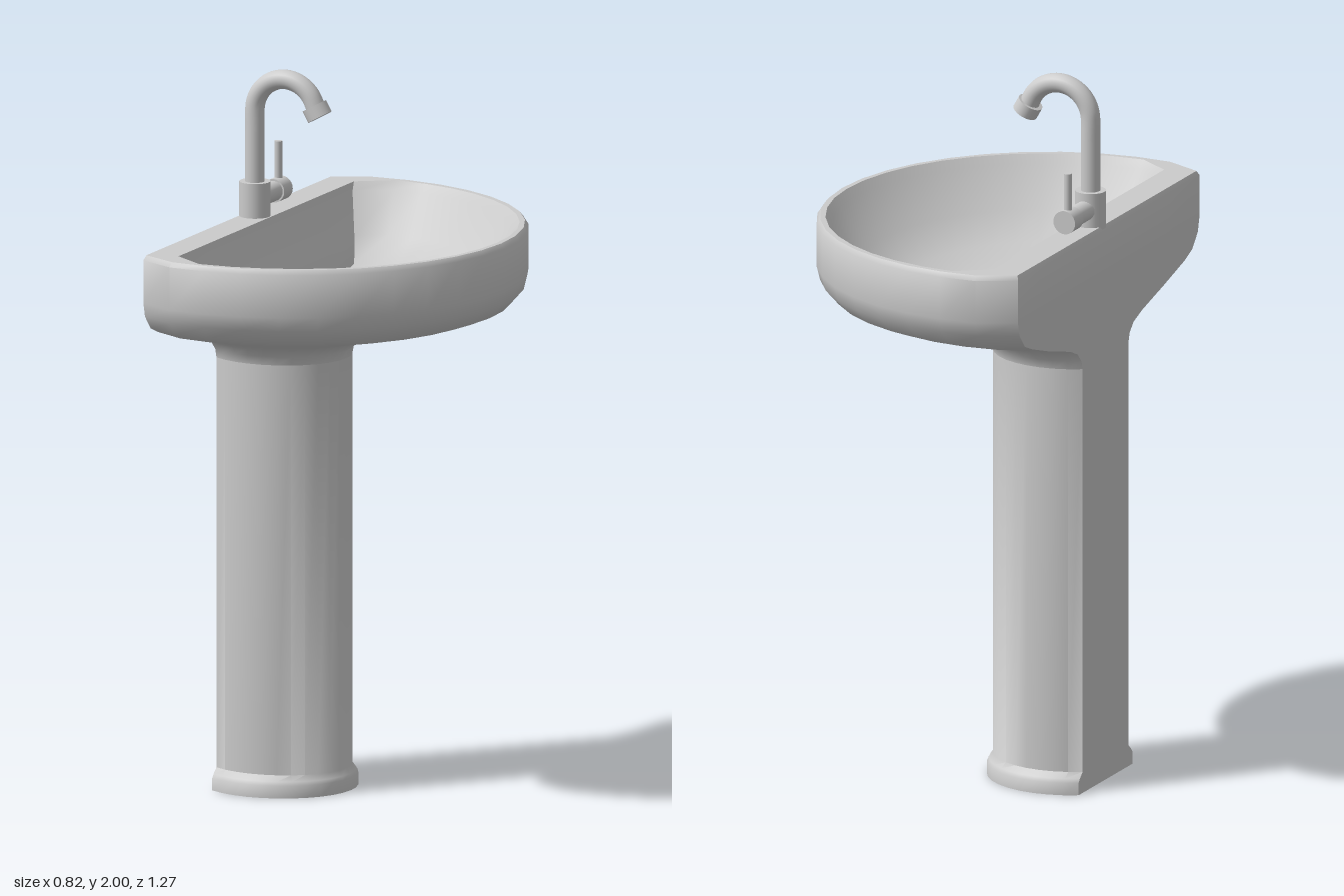
import * as THREE from 'three';
import { toCreasedNormals } from 'three/addons/utils/BufferGeometryUtils.js';

const ARC = 22, BACK = 6, N = ARC + BACK;
const material = new THREE.MeshStandardMaterial({ color: 0xcccccc, side: THREE.DoubleSide });

// D-shaped cross-section: elliptical front, flat back at x = xb, corners pulled in by `corner`
function ring({ y, xf, hw, xb = -0.41, cx = -0.22, zc = 0, corner = 1 }) {
  const t0 = Math.acos((xb - cx) / (xf - cx));
  const pts = [];
  for (let i = 0; i <= ARC; i++) {
    const t = -t0 + (2 * t0 * i) / ARC;
    const k = i === 0 || i === ARC ? corner : 1;
    pts.push([cx + (xf - cx) * Math.cos(t), y, zc + k * hw * Math.sin(t)]);
  }
  const half = corner * hw * Math.sin(t0);
  for (let i = 1; i < BACK; i++) pts.push([xb, y, zc + half * (1 - (2 * i) / BACK)]);
  return pts;
}

// Skin a stack of rings and close both ends
function loft(sections, crease) {
  const rings = sections.map(ring);
  const pos = rings.flat(2), idx = [];
  const last = (rings.length - 1) * N, c0 = rings.length * N, c1 = c0 + 1;
  for (const s of [sections[0], sections[sections.length - 1]]) {
    pos.push(((s.xb ?? -0.41) + s.xf) / 2, s.y, s.zc ?? 0);
  }
  for (let j = 0; j < N; j++) {
    const k = (j + 1) % N;
    for (let i = 0; i < rings.length - 1; i++) {
      const a = i * N + j, b = i * N + k;
      idx.push(a, a + N, b, b, a + N, b + N);
    }
    idx.push(c0, j, k, c1, last + k, last + j);
  }
  const g = new THREE.BufferGeometry();
  g.setAttribute('position', new THREE.Float32BufferAttribute(pos, 3));
  g.setIndex(idx);
  return toCreasedNormals(g, crease);
}

function add(parent, name, geometry) {
  const mesh = new THREE.Mesh(geometry, material);
  mesh.name = name;
  parent.add(mesh);
  return mesh;
}

// Cylinder running between two points
function rod(parent, name, from, to, r) {
  const a = new THREE.Vector3(...from), b = new THREE.Vector3(...to);
  const d = b.clone().sub(a);
  const mesh = add(parent, name, new THREE.CylinderGeometry(r, r, d.length(), 24));
  mesh.position.copy(a).addScaledVector(d, 0.5);
  mesh.quaternion.setFromUnitVectors(new THREE.Vector3(0, 1, 0), d.normalize());
  return mesh;
}

export function createModel() {
  const model = new THREE.Group();
  model.name = 'pedestalSink';

  // Column with a flared foot
  const foot = { xf: -0.07, hw: 0.205, cx: -0.29, zc: -0.02 };
  const shaft = { xf: -0.085, hw: 0.18, cx: -0.29, zc: -0.02 };
  add(model, 'pedestal', loft([
    { y: 0, ...foot },
    { y: 0.035, ...foot },
    { y: 0.045, ...foot, xf: -0.075, hw: 0.197 },
    { y: 0.06, ...shaft },
    { y: 1.23, ...shaft },
  ], 0.8));

  // Basin: flared underside, outer wall, rim, then the bowl inside
  add(model, 'basin', loft([
    { y: 1.21, ...shaft },
    { y: 1.235, ...shaft, xf: -0.08, hw: 0.187 },
    { y: 1.26, xf: -0.05, hw: 0.215, cx: -0.28, zc: -0.02 },
    { y: 1.28, xf: 0.02, hw: 0.27, cx: -0.26, zc: -0.015 },
    { y: 1.315, xf: 0.17, hw: 0.4, cx: -0.24, zc: -0.01 },
    { y: 1.35, xf: 0.31, hw: 0.54, corner: 0.96 },
    { y: 1.37, xf: 0.365, hw: 0.59, corner: 0.955 },
    { y: 1.41, xf: 0.4, hw: 0.625, corner: 0.955 },
    { y: 1.45, xf: 0.41, hw: 0.635, corner: 0.955 },
    { y: 1.57, xf: 0.41, hw: 0.635, corner: 0.955 },
    { y: 1.583, xf: 0.4, hw: 0.625, xb: -0.405, corner: 0.955 },
    { y: 1.583, xf: 0.385, hw: 0.608, xb: -0.32, corner: 0.905 },
    { y: 1.56, xf: 0.368, hw: 0.59, xb: -0.315, corner: 0.9 },
    { y: 1.45, xf: 0.285, hw: 0.52, xb: -0.28, corner: 0.9 },
    { y: 1.385, xf: 0.18, hw: 0.43, xb: -0.252, corner: 0.95 },
    { y: 1.36, xf: 0.05, hw: 0.275, xb: -0.25, zc: -0.02 },
  ], 0.7));

  // Faucet
  const faucet = new THREE.Group();
  faucet.name = 'faucet';
  model.add(faucet);
  const fx = -0.367, fz = -0.025, ly = 1.63;
  rod(faucet, 'faucetBody', [fx, 1.575, fz], [fx, 1.68, fz], 0.043);

  // Gooseneck spout: straight riser, arc, short straight tip
  const R = 0.094, cx = fx + R, cy = 1.88;
  const path = [[fx, 1.66], [fx, 1.74], [fx, 1.82]];
  for (let i = 0; i <= 12; i++) {
    const t = Math.PI - (i / 12) * (Math.PI - 0.58);
    path.push([cx + R * Math.cos(t), cy + R * Math.sin(t)]);
  }
  path.push([-0.176, 1.893]);
  const curve = new THREE.CatmullRomCurve3(path.map(([x, y]) => new THREE.Vector3(x, y, fz)));
  add(faucet, 'spout', new THREE.TubeGeometry(curve, 56, 0.027, 20));
  rod(faucet, 'spoutNozzle', [-0.185, 1.908, fz], [-0.168, 1.878, fz], 0.036);

  // Side valve with upright lever
  rod(faucet, 'valveStem', [fx, ly, fz], [fx, ly, -0.145], 0.028);
  rod(faucet, 'valveCap', [fx, ly, -0.14], [fx, ly, -0.193], 0.033);
  rod(faucet, 'lever', [fx, ly, -0.17], [fx, 1.765, -0.17], 0.011);

  return model;
}
